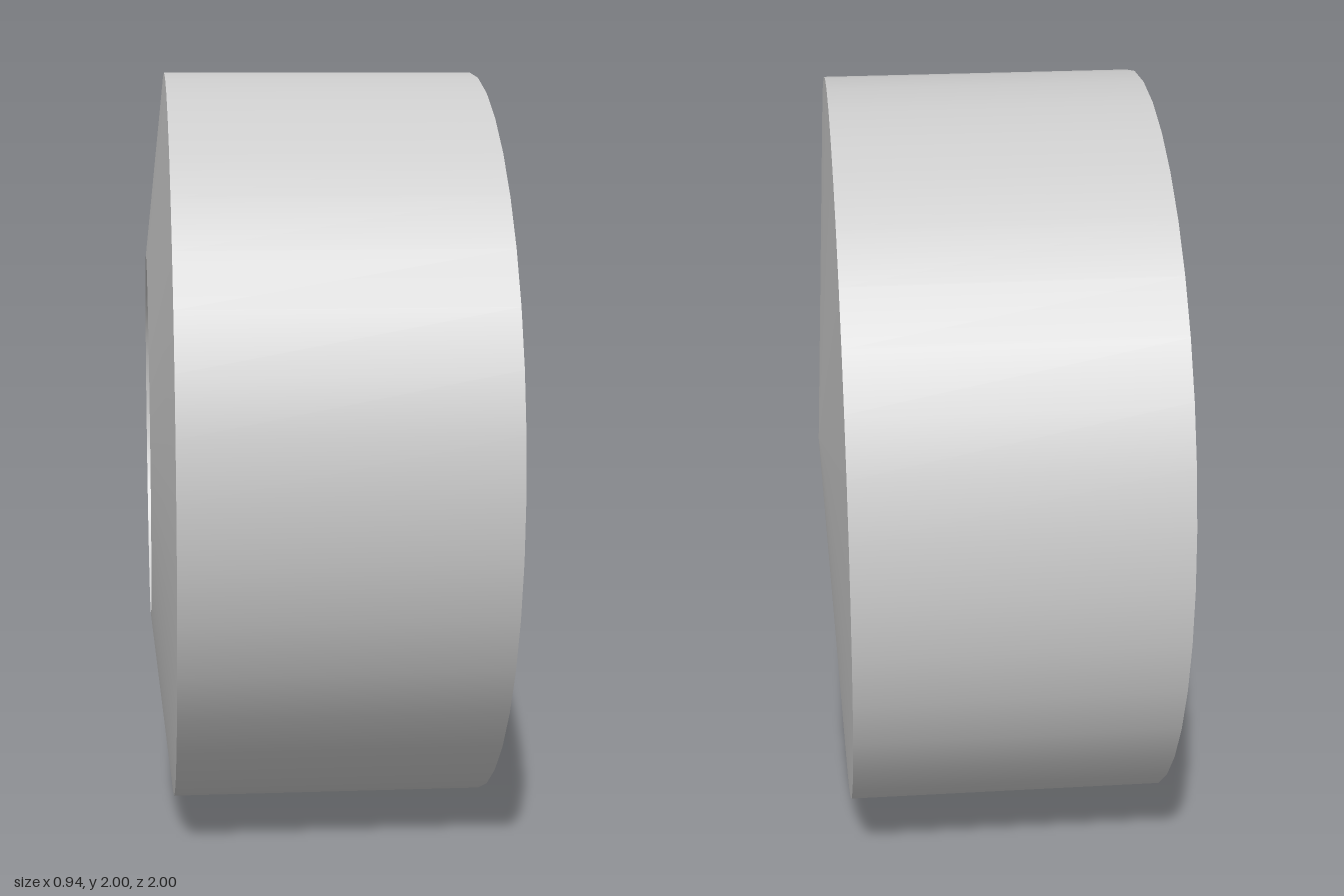
import * as THREE from 'three';

const SEGMENTS = 40;

export function createModel() {
  const wheel = new THREE.Group();
  wheel.name = 'wheel';
  const material = new THREE.MeshStandardMaterial({ color: 0xcccccc });

  // Each part is its own lathe, so the edges between parts stay sharp.
  // Points are [radius, position along the axle].
  const turn = (name, points) => {
    const profile = points.map(([r, a]) => new THREE.Vector2(r, a));
    const mesh = new THREE.Mesh(new THREE.LatheGeometry(profile, SEGMENTS), material);
    mesh.name = name;
    mesh.rotation.z = -Math.PI / 2; // axle along x
    mesh.position.y = 1;
    wheel.add(mesh);
  };

  // Concave curve from the hub floor out to the lip of the recess
  const wall = [];
  for (let i = 0; i <= 8; i++) {
    const t = (i / 8) * Math.PI / 2;
    wall.push([0.27 + 0.23 * Math.sin(t), -0.475 + 0.21 * Math.cos(t)]);
  }

  turn('axleCone', [[0, -0.378], [0.13, -0.265]]);
  turn('hubDish', [[0.13, -0.265], ...wall]);
  turn('innerSidewall', [[0.5, -0.475], [1, -0.42]]);
  turn('tread', [[1, -0.42], [1, 0.42]]);
  turn('outerSidewall', [[1, 0.42], [0, 0.47]]);

  return wheel;
}
